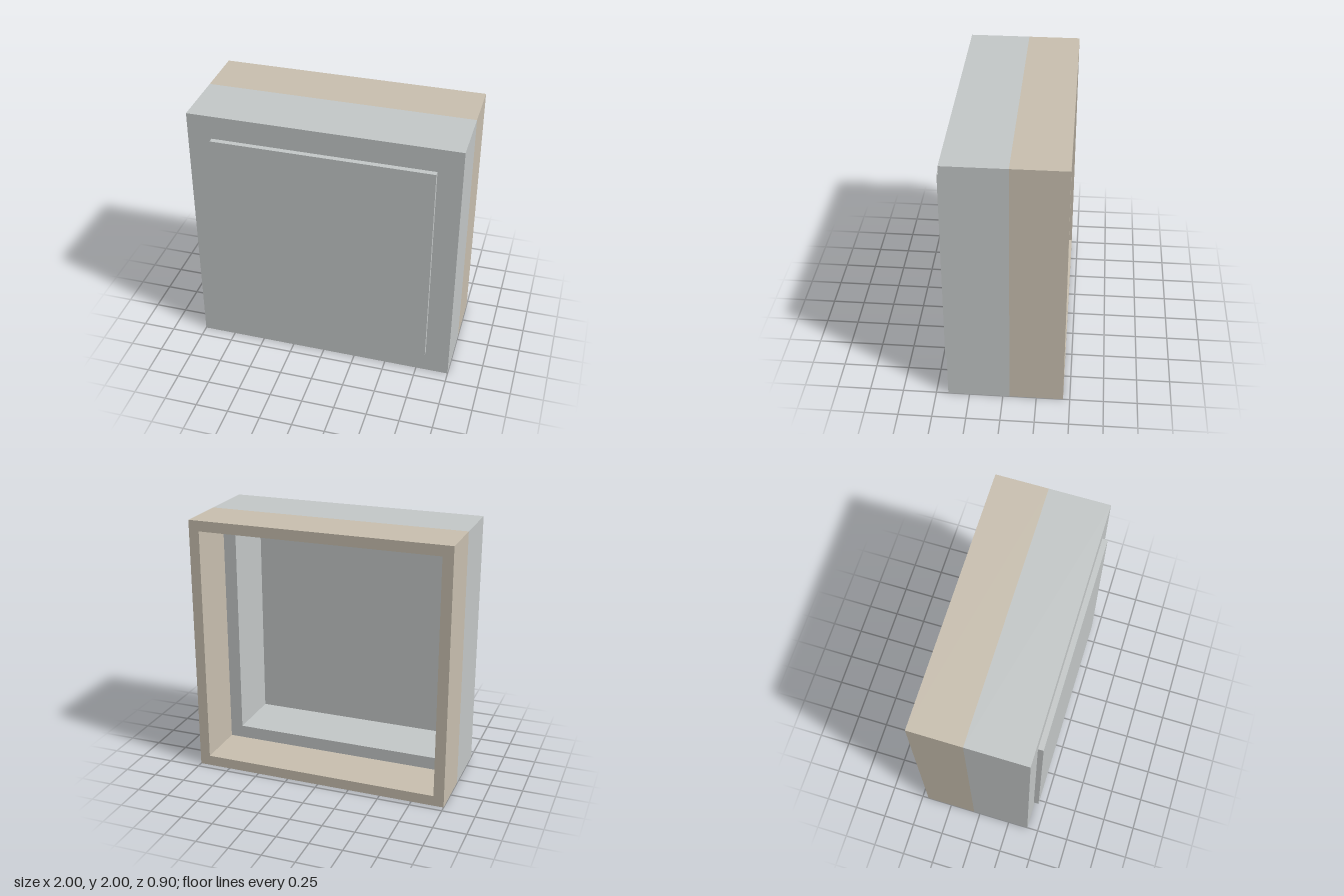
import * as THREE from 'three';

const paleGrey = new THREE.MeshStandardMaterial({ name: 'paleGrey', color: 0xc4c8c8 });
const warmBeige = new THREE.MeshStandardMaterial({ name: 'warmBeige', color: 0xc9c0b0 });

// Square ring centred at y = 1, running from zBack to zFront
function squareFrame(name, outer, wall, zBack, zFront, material) {
  const square = (Path, h) => new Path([[-h, -h], [h, -h], [h, h], [-h, h]].map(([x, y]) => new THREE.Vector2(x, y)));
  const shape = square(THREE.Shape, outer / 2);
  shape.holes.push(square(THREE.Path, outer / 2 - wall));
  const geometry = new THREE.ExtrudeGeometry(shape, { depth: zFront - zBack, bevelEnabled: false });
  const mesh = new THREE.Mesh(geometry, material);
  mesh.name = name;
  mesh.position.set(0, 1, zBack);
  return mesh;
}

export function createModel() {
  const model = new THREE.Group();
  model.name = 'squareBoxFrame';

  // Thin-walled rear surround and thick-walled front body
  model.add(squareFrame('rearFrame', 2, 0.08, -0.45, -0.05, warmBeige));
  model.add(squareFrame('frontFrame', 2, 0.18, -0.05, 0.41, paleGrey));

  // Raised panel closing the front opening
  const panel = new THREE.Mesh(new THREE.BoxGeometry(1.64, 1.64, 0.04), paleGrey);
  panel.name = 'frontPanel';
  panel.position.set(0, 1, 0.43);
  model.add(panel);

  return model;
}
